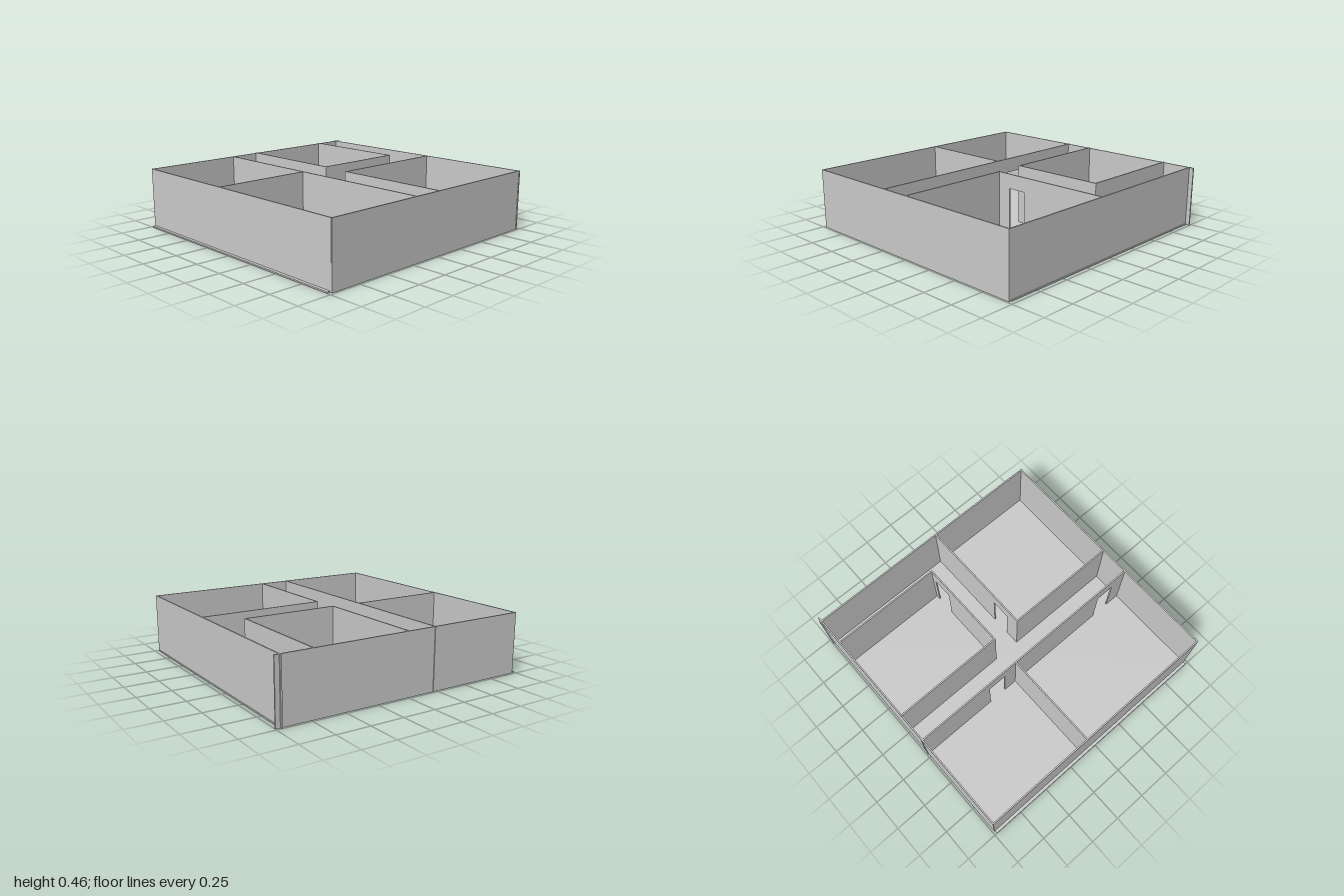
import * as THREE from 'three';

const T = 0.011;      // wall thickness
const DOOR_H = 0.345; // door head height
const BASE = 0.003;

export function createModel() {
  const model = new THREE.Group();
  const mat = new THREE.MeshStandardMaterial({ color: 0xcccccc, flatShading: true });

  function add(name, geometry) {
    const mesh = new THREE.Mesh(geometry, mat);
    mesh.name = name;
    model.add(mesh);
    return mesh;
  }

  // Wall running from a to b along 'x' or 'z', centred on `at`, notched by doors [from, to]
  function wall(name, axis, at, a, b, { top = 0.455, bottom = BASE, doors = [] } = {}) {
    const s = new THREE.Shape();
    s.moveTo(a, bottom);
    for (const [d0, d1] of doors) {
      s.lineTo(d0, bottom);
      s.lineTo(d0, DOOR_H);
      s.lineTo(d1, DOOR_H);
      s.lineTo(d1, bottom);
    }
    s.lineTo(b, bottom);
    s.lineTo(b, top);
    s.lineTo(a, top);
    const g = new THREE.ExtrudeGeometry(s, { depth: T, bevelEnabled: false });
    g.translate(0, 0, -T / 2);
    if (axis === 'z') g.rotateY(-Math.PI / 2);
    const mesh = add(name, g);
    mesh.position[axis === 'x' ? 'z' : 'x'] = at;
  }

  // Floor slab
  add('floor', new THREE.BoxGeometry(1.974, 0.01, 1.955).translate(-0.013, 0.005, -0.003));

  // Outer walls
  wall('frontWall', 'x', 0.984, -0.976, 0.966, { bottom: 0 });
  wall('backWall', 'x', -0.981, -0.976, 1.0, { bottom: 0 });
  wall('rightSideWall', 'z', -0.972, -0.981, 0.984, { bottom: 0 });
  wall('leftSideWall', 'z', 0.962, -0.997, 0.993, { bottom: 0 });

  // Long hall wall with a door to each room beside it
  wall('hallWall', 'z', -0.219, -0.992, 0.984, { doors: [[-0.37, -0.225], [0.715, 0.86]] });
  wall('roomDivider', 'x', -0.115, -0.972, -0.219);

  // Front room
  wall('frontRoomSide', 'z', 0.014, 0.1, 0.984);
  wall('frontRoomBack', 'x', 0.105, 0.009, 0.962, { doors: [[0.125, 0.27]] });

  // Back room
  wall('backRoomInnerSide', 'z', 0.014, -0.981, -0.11, { top: 0.46 });
  wall('backRoomOuterSide', 'z', 0.739, -0.981, -0.11, { top: 0.46 });
  wall('backRoomFront', 'x', -0.115, 0.009, 0.744, { top: 0.46, doors: [[0.545, 0.7]] });

  return model;
}
